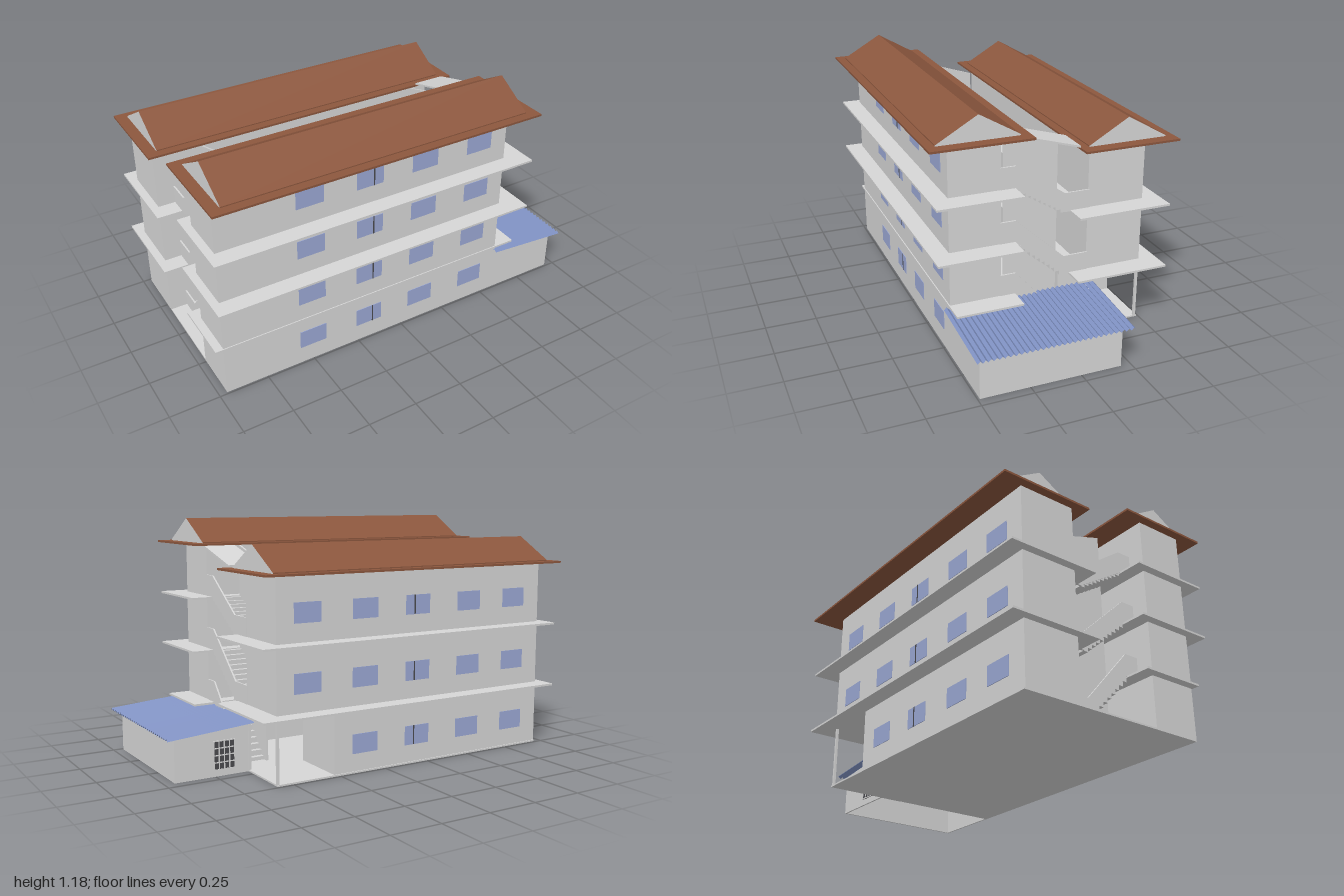
import * as THREE from 'three';

export function createModel() {
  const model = new THREE.Group();
  const mat = (name, color, side = THREE.FrontSide) => {
    const m = new THREE.MeshStandardMaterial({ color, side });
    m.name = name;
    return m;
  };
  const concrete = mat('concrete', 0xd6d6d6);
  const brown = mat('roof brown', 0x8c573e);
  const glass = mat('window blue', 0x9ba8d4);
  const sheet = mat('sheet roof blue', 0x8092c4, THREE.DoubleSide);
  const dark = mat('dark metal', 0x4a4a4e);

  const add = (name, geometry, material) => {
    const mesh = new THREE.Mesh(geometry, material);
    mesh.name = name;
    model.add(mesh);
    return mesh;
  };
  // Box given by its limits on each axis
  const box = (name, m, x0, x1, y0, y1, z0, z1) =>
    add(name, new THREE.BoxGeometry(x1 - x0, y1 - y0, z1 - z0), m)
      .position.set((x0 + x1) / 2, (y0 + y1) / 2, (z0 + z1) / 2);
  // Outline of [z, y] points extruded from x0 to x1
  const profile = (name, m, points, x0, x1) => {
    const shape = new THREE.Shape(points.map(([z, y]) => new THREE.Vector2(-z, y)));
    const g = new THREE.ExtrudeGeometry(shape, { depth: x1 - x0, bevelEnabled: false });
    g.rotateY(Math.PI / 2).translate(x0, 0, 0);
    return add(name, g, m);
  };

  // Ground plate and the two long blocks; the back one has an open ground bay
  box('groundPlate', concrete, -0.96, 0.58, 0, 0.008, -0.49, 0.49);
  box('frontBlock', concrete, -0.96, 0.58, 0.004, 1.05, 0.24, 0.49);
  box('backBlockGround', concrete, -0.96, 0.28, 0.004, 0.32, -0.485, -0.195);
  box('backBlockUpper', concrete, -0.96, 0.58, 0.32, 0.952, -0.485, -0.195);
  for (const z of [-0.485, -0.207]) box('bayColumn', concrete, 0.568, 0.58, 0, 0.32, z, z + 0.012);

  // Floor slabs that project beyond the walls
  box('frontLowSlab', concrete, -1, 0.69, 0.255, 0.265, 0.17, 0.495);
  for (const y of [0.525, 0.79]) box('frontSlab', concrete, -1, 0.69, y - 0.005, y + 0.005, 0.17, 0.577);
  for (const y of [0.317, 0.637]) box('backSlab', concrete, -1, 0.69, y - 0.005, y + 0.005, -0.572, -0.105);

  // Gabled roofs on eaves slabs: concrete ends, brown slopes
  for (const [name, y, z, e0, e1] of [['front', 1.05, 0.363, 0.12, 0.603], ['back', 0.951, -0.363, -0.603, -0.125]]) {
    box(name + 'Eaves', brown, -1, 0.69, y, y + 0.01, e0, e1);
    profile(name + 'Gable', [concrete, brown],
      [[z + 0.196, y + 0.01], [z + 0.196, y + 0.015], [z, y + 0.128], [z - 0.196, y + 0.015], [z - 0.196, y + 0.01]], -0.945, 0.632);
  }

  // Windows, with a mullion on the second bay
  const windowRow = (xs, floor, z, out) => {
    for (const x of xs) {
      const y = floor + 0.14;
      box('window', glass, x - 0.07, x + 0.07, y - 0.047, y + 0.047, z - 0.003, z + 0.003);
      if (x === -0.19) {
        const zc = z + out * 0.003;
        box('mullion', dark, -0.173, -0.167, y - 0.047, y + 0.047, zc - 0.002, zc + 0.002);
      }
    }
  };
  const bays = [-0.5, -0.19, 0.11, 0.42];
  for (const f of [0, 0.26, 0.525, 0.79]) windowRow(bays, f, 0.49, 1);
  for (const f of [0.317, 0.637]) windowRow([-0.79, ...bays], f, -0.485, -1);
  windowRow([-0.79, -0.5, -0.19, 0.11], 0, -0.485, -1);

  // Stairs at both ends: solid parapet, treads and a tall wall beside them
  const flights = [[0.26, 0], [0.525, 0.317], [0.79, 0.637]];
  for (const [inner, outer] of [[0.43, 0.58], [-0.74, -0.87]]) {
    const x0 = Math.min(inner, outer), x1 = Math.max(inner, outer);
    for (const [top, low] of flights) {
      profile('stairParapet', concrete, [
        [0.243, top], [0.243, top + 0.11], [0.168, top + 0.11], [-0.075, low + 0.095],
        [-0.2, low + 0.095], [-0.2, low], [-0.08, low], [0.168, top],
      ], outer - 0.005, outer + 0.003);
      const n = 10, run = 0.25 / n, rise = (top - low) / n;
      for (let i = 0; i < n; i++) {
        const y = low + rise * (i + 1), z = -0.08 + run * i;
        box('stairTread', concrete, x0, x1, y - rise, y, z, z + run);
      }
    }
    profile('stairWall', concrete,
      [[0.17, 0.004], [0.17, 1.047], [-0.105, 0.96], [-0.105, 0.004]], inner - 0.005, inner + 0.005);
  }
  // Sloping cover above the right-hand stairs
  profile('stairCover', concrete, [[0.17, 1.047], [0.17, 1.056], [-0.125, 0.971], [-0.125, 0.962]], 0.47, 0.632);

  // Annex: open-bottomed walls with sloping tops
  const annexWall = (name, z) => {
    const s = new THREE.Shape();
    s.moveTo(0.58, 0).lineTo(0.952, 0).lineTo(0.952, 0.208).lineTo(0.58, 0.242).closePath();
    add(name, new THREE.ExtrudeGeometry(s, { depth: 0.008, bevelEnabled: false }), concrete).position.z = z;
  };
  annexWall('annexFrontWall', 0.482);
  annexWall('annexBackWall', -0.2);
  box('annexEndWall', concrete, 0.944, 0.952, 0, 0.208, -0.2, 0.49);

  // Barred opening in the annex back wall
  box('grilleOpening', dark, 0.65, 0.76, 0.03, 0.17, -0.203, -0.199);
  for (let i = 0; i < 5; i++) {
    const x = 0.65 + i * 0.0265, y = 0.03 + i * 0.034;
    box('grilleBar', concrete, x, x + 0.005, 0.03, 0.17, -0.206, -0.202);
    box('grilleBar', concrete, 0.65, 0.76, y, y + 0.005, -0.206, -0.202);
  }

  // Corrugated annex roof, falling away from the building
  const waves = 30;
  const corrugated = new THREE.PlaneGeometry(0.43, 0.76, 1, waves * 2).rotateX(-Math.PI / 2).toNonIndexed();
  const p = corrugated.attributes.position;
  for (let i = 0; i < p.count; i++) {
    const row = Math.round((p.getZ(i) / 0.76 + 0.5) * waves * 2);
    p.setY(i, 0.231 - (p.getX(i) / 0.43) * 0.034 + (row % 2 ? 0.006 : -0.006));
  }
  corrugated.translate(0.785, 0, 0.137);
  corrugated.computeVertexNormals();
  add('corrugatedRoof', corrugated, sheet);

  return model;
}
